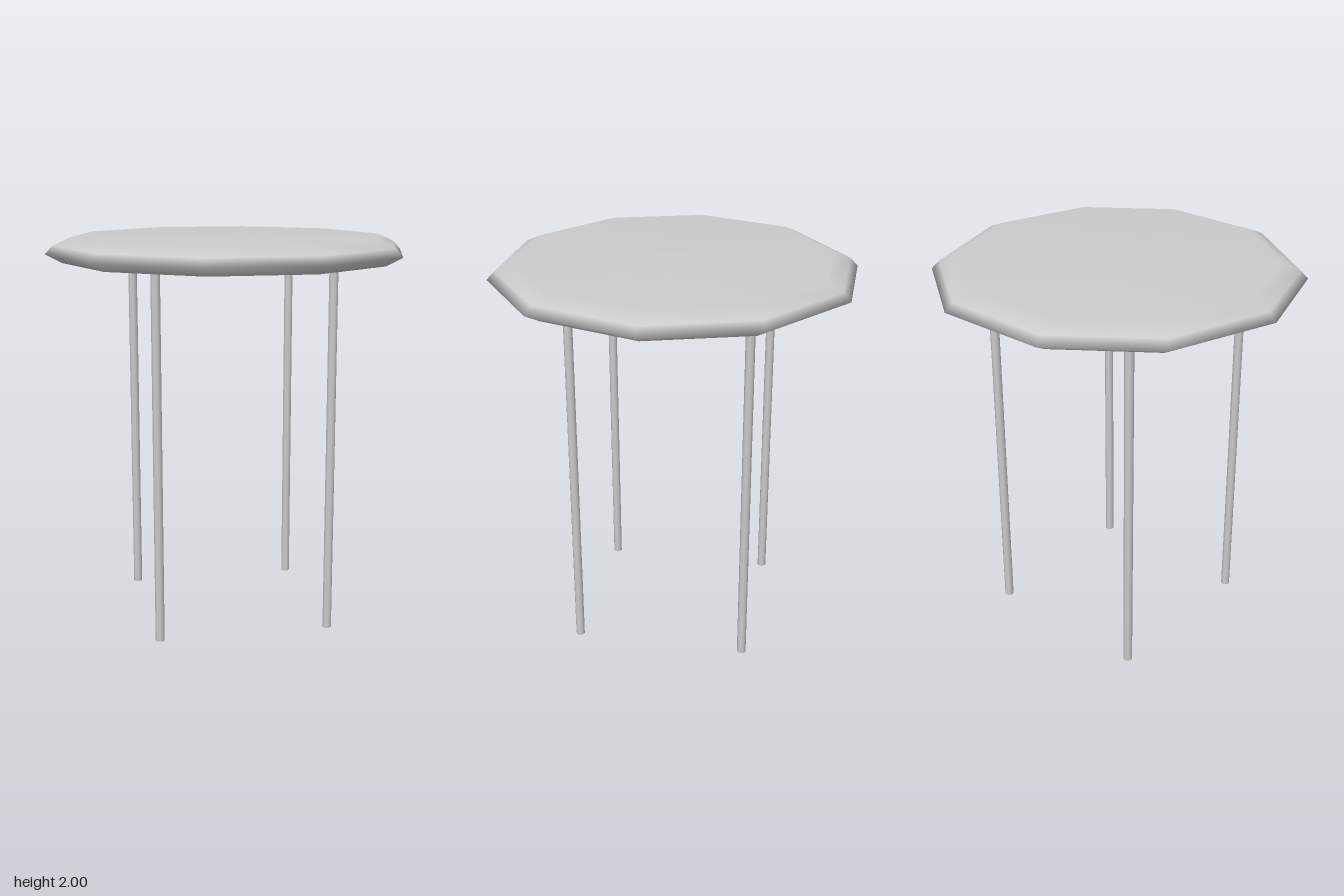
import * as THREE from 'three';

const SIDES = 10;

export function createModel() {
  const group = new THREE.Group();
  const material = new THREE.MeshStandardMaterial({ color: 0xcccccc });
  const add = (name, geometry, x = 0, y = 0, z = 0) => {
    const mesh = new THREE.Mesh(geometry, material);
    mesh.name = name;
    mesh.position.set(x, y, z);
    group.add(mesh);
  };

  // Ten-sided seat with a bevelled rim and a slightly domed top
  const profile = [
    [0.84, 1.86], [0.925, 1.905], [0.885, 1.947], [0.8, 1.985], [0, 2],
  ].map(([r, y]) => new THREE.Vector2(r, y));
  add('seat', new THREE.LatheGeometry(profile, SIDES, Math.PI / 2));

  // Flat underside, kept separate so its edge stays sharp
  const underside = new THREE.CircleGeometry(0.84, SIDES);
  underside.rotateX(Math.PI / 2);
  add('seatUnderside', underside, 0, 1.86, 0);

  // Four slender straight legs
  for (const [name, sz] of [['front', 1], ['back', -1]]) {
    for (const [side, sx] of [['Left', 1], ['Right', -1]]) {
      const leg = new THREE.CylinderGeometry(0.023, 0.023, 1.87, 8);
      add(`${name}${side}Leg`, leg, sx * 0.436, 0.935, sz * 0.436);
    }
  }
  return group;
}
